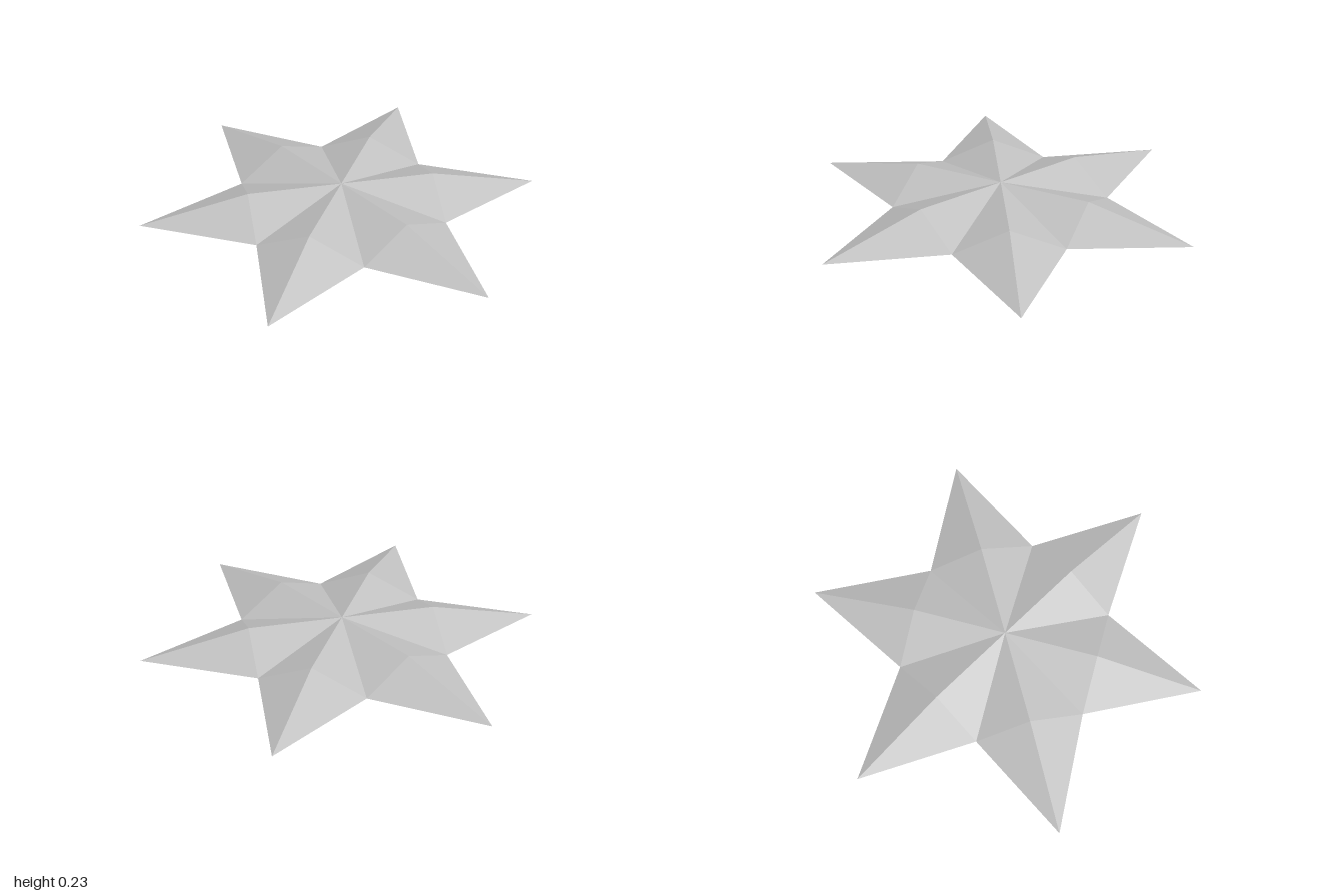
import * as THREE from 'three';

const ARMS = 6;
const MID = 0.115;        // height of the outline
const TIP = 1;            // tip radius
const RIDGE = 0.466;      // where the level ridge starts to fall to the tip
const VALLEY = 0.538;     // radius of the notches between arms

// One faceted arm along +z: a quarter mirrored across its ridge and its mid plane
function armGeometry() {
  const half = Math.PI / ARMS;
  const centre = [0, MID, 0];
  const ridge = [0, MID, RIDGE];
  const tip = [0, 0, TIP];
  const valley = [VALLEY * Math.sin(half), 0, VALLEY * Math.cos(half)];
  const positions = [];
  for (const sx of [1, -1]) {
    for (const sy of [1, -1]) {
      for (const [a, b, c] of [[centre, ridge, valley], [ridge, tip, valley]]) {
        const corners = sx * sy > 0 ? [a, b, c] : [a, c, b];
        for (const [x, y, z] of corners) positions.push(x * sx, MID + y * sy, z);
      }
    }
  }
  const geometry = new THREE.BufferGeometry();
  geometry.setAttribute('position', new THREE.Float32BufferAttribute(positions, 3));
  geometry.computeVertexNormals();
  return geometry;
}

export function createModel() {
  const model = new THREE.Group();
  model.name = 'sixPointedStar';

  const grey = new THREE.MeshStandardMaterial({ color: 0xc0c0c0, flatShading: true });
  grey.name = 'light grey';

  // Six arms around the centre
  const geometry = armGeometry();
  for (let i = 0; i < ARMS; i++) {
    const arm = new THREE.Mesh(geometry, grey);
    arm.name = `starArm${i + 1}`;
    arm.rotation.y = (i * 2 * Math.PI) / ARMS;
    model.add(arm);
  }
  return model;
}
